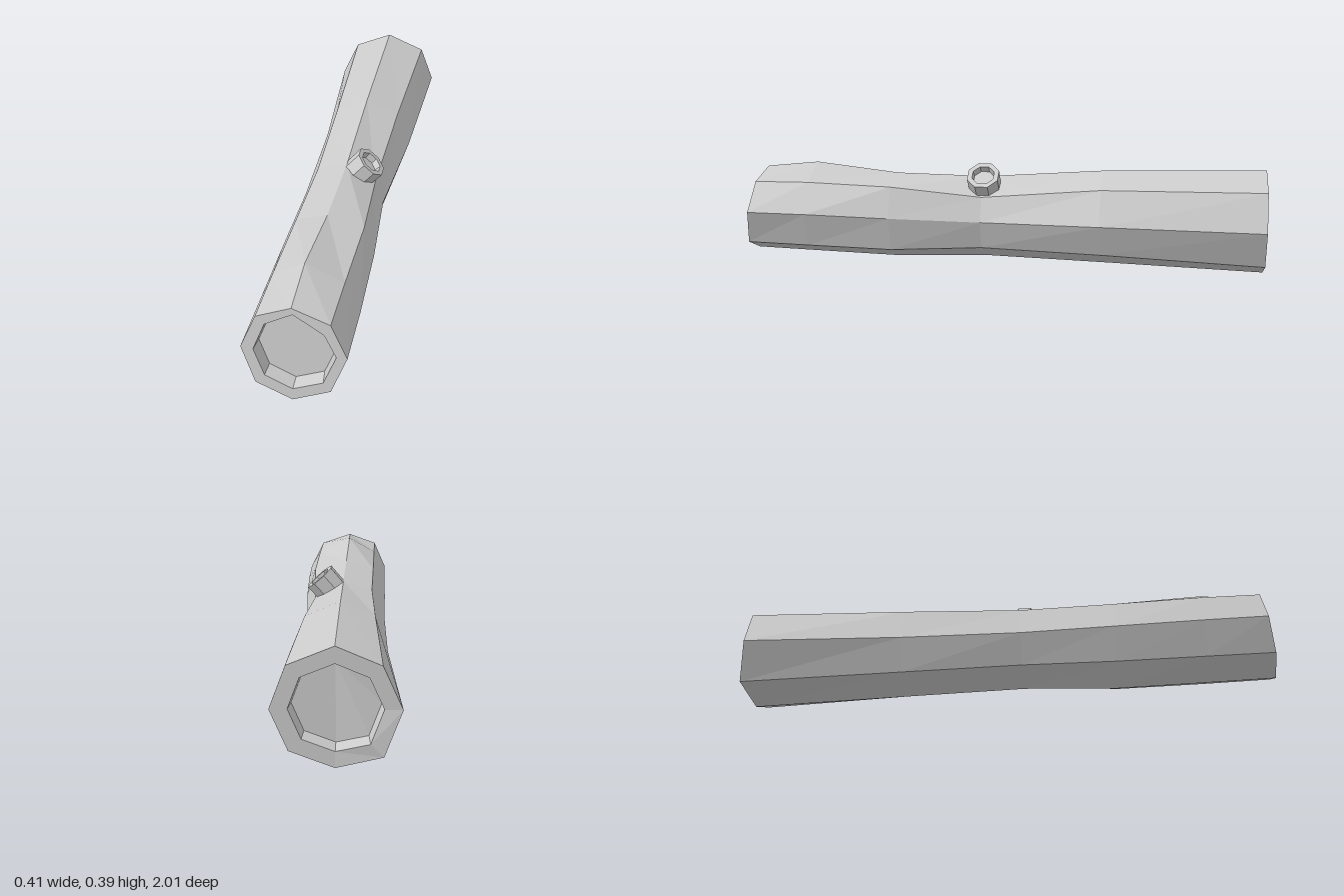
import * as THREE from 'three';

const material = new THREE.MeshStandardMaterial({ color: 0xcccccc, flatShading: true });

// Joins eight-sided rings from front to back; corners run top, +x, bottom, -x.
function loft(rings) {
  const pos = [];
  const n = 8;
  for (let i = 0; i < rings.length - 1; i++) {
    for (let j = 0; j < n; j++) {
      const k = (j + 1) % n;
      const a = rings[i][j], b = rings[i][k], c = rings[i + 1][k], d = rings[i + 1][j];
      pos.push(...a, ...b, ...d, ...b, ...c, ...d);
    }
  }
  // End discs
  const cap = (ring, flip) => {
    for (let j = 1; j < n - 1; j++) {
      const [p, q] = flip ? [j, j + 1] : [j + 1, j];
      pos.push(...ring[0], ...ring[p], ...ring[q]);
    }
  };
  cap(rings[0], false);
  cap(rings[rings.length - 1], true);
  const geometry = new THREE.BufferGeometry();
  geometry.setAttribute('position', new THREE.Float32BufferAttribute(pos, 3));
  geometry.computeVertexNormals();
  return geometry;
}

// A ring of [x, y] corners at depth z, which may depend on the height.
const ring = (z, corners) =>
  corners.map(([x, y]) => [x, y, typeof z === 'function' ? z(x, y) : z]);

// Scales a ring about the log's axis and shifts it along z.
const inset = (source, s, dz) =>
  source.map(([x, y, z]) => [x * s, 0.195 + (y - 0.195) * s, z + dz]);

function createLog() {
  const frontEnd = ring((x, y) => 0.98 - (y - 0.195) * 0.15, [
    [-0.005, 0.357], [0.12, 0.313], [0.175, 0.2], [0.125, 0.073],
    [0.002, 0.026], [-0.12, 0.075], [-0.168, 0.2], [-0.12, 0.314]]);
  const frontRim = ring((x, y) => 0.98 - (y - 0.195) * 0.15, [
    [0, 0.335], [0.1, 0.275], [0.14, 0.2], [0.1, 0.102],
    [0.002, 0.066], [-0.09, 0.105], [-0.127, 0.195], [-0.09, 0.29]]);
  const frontFloor = inset(frontRim, 0.95, -0.05);

  const body = [
    ring(0.75, [
      [-0.007, 0.378], [0.124, 0.316], [0.175, 0.199], [0.135, 0.071],
      [0.002, 0.02], [-0.12, 0.073], [-0.165, 0.199], [-0.117, 0.316]]),
    ring(0.42, [
      [0, 0.344], [0.13, 0.308], [0.166, 0.192], [0.135, 0.066],
      [0.002, 0.013], [-0.12, 0.07], [-0.163, 0.193], [-0.113, 0.31]]),
    ring(0.07, [
      [0.003, 0.34], [0.112, 0.276], [0.143, 0.185], [0.112, 0.082],
      [0.002, 0.028], [-0.115, 0.075], [-0.158, 0.188], [-0.108, 0.307]]),
    ring(-0.38, [
      [0.002, 0.373], [0.128, 0.318], [0.18, 0.19], [0.135, 0.076],
      [0.002, 0.018], [-0.125, 0.065], [-0.165, 0.19], [-0.12, 0.32]]),
  ];

  const backEnd = ring(-0.98, [
    [0.002, 0.39], [0.15, 0.329], [0.202, 0.191], [0.145, 0.057],
    [0.002, 0.003], [-0.147, 0.047], [-0.204, 0.191], [-0.142, 0.329]]);
  backEnd[5][2] = -1;
  const backRim = inset(backEnd, 0.72, 0);
  const backFloor = inset(backRim, 0.95, 0.06);

  const log = new THREE.Mesh(
    loft([frontFloor, frontRim, frontEnd, ...body, backEnd, backRim, backFloor]), material);
  log.name = 'log';
  return log;
}

// Short hollow branch stub leaning out of the waist
function createStub() {
  const profile = [[0.061, -0.11], [0.063, 0], [0.044, 0], [0.041, -0.025], [0, -0.025]]
    .map(([r, y]) => new THREE.Vector2(r, y));
  const stub = new THREE.Mesh(new THREE.LatheGeometry(profile, 8, Math.PI / 8), material);
  stub.name = 'branchStub';
  stub.position.set(0.095, 0.358, 0.066);
  stub.quaternion.setFromUnitVectors(
    new THREE.Vector3(0, 1, 0), new THREE.Vector3(0.66, 0.75, 0).normalize());
  return stub;
}

export function createModel() {
  const model = new THREE.Group();
  model.name = 'hollowLog';
  model.add(createLog(), createStub());
  return model;
}
